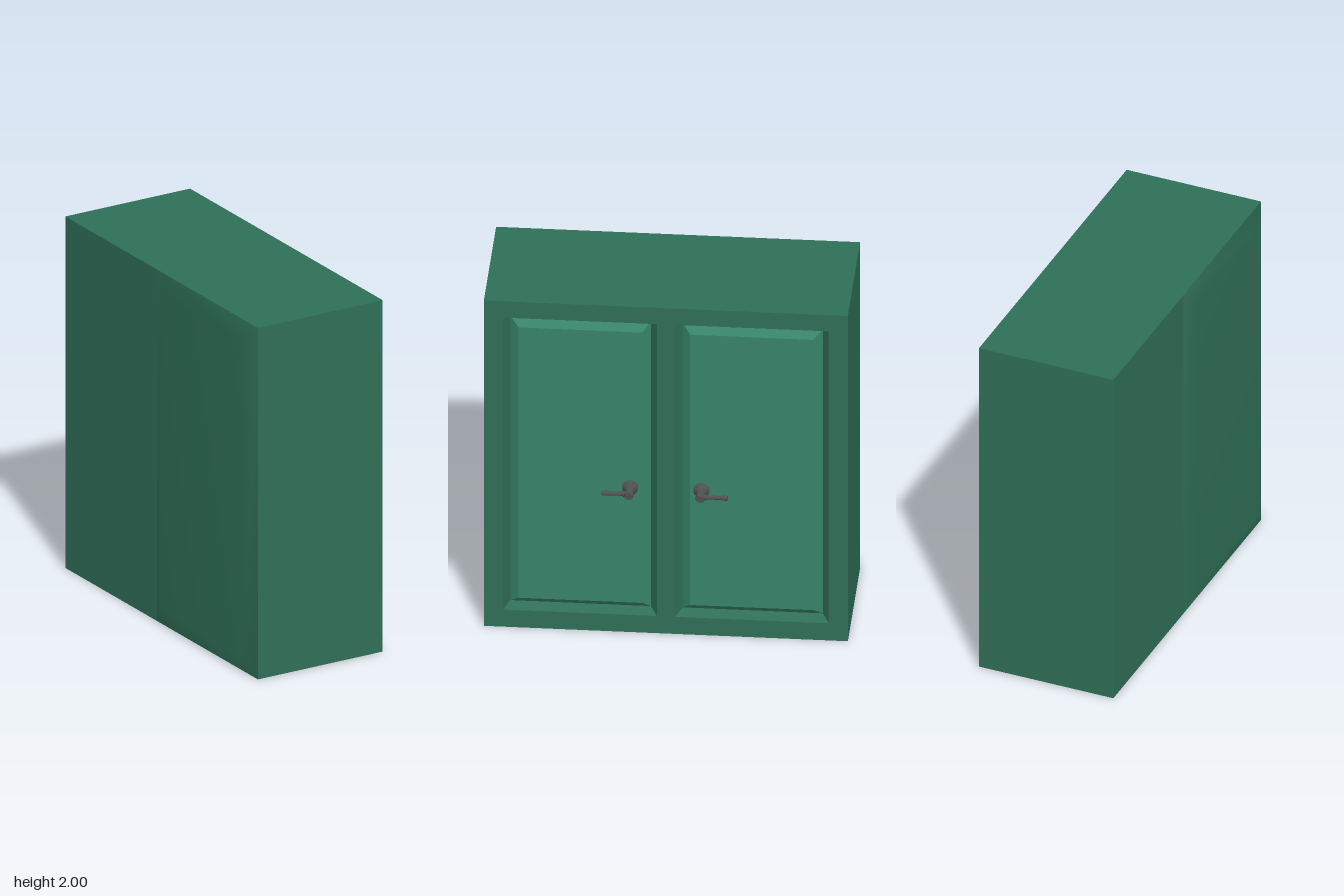
import * as THREE from 'three';
import { mergeVertices, toCreasedNormals } from 'three/addons/utils/BufferGeometryUtils.js';

const FRONT = 0.355, BACK = -0.425, HALF = 0.97;
const green = new THREE.MeshStandardMaterial({ color: 0x2f6f57 });
const lightGreen = new THREE.MeshStandardMaterial({ color: 0x38846a });
const iron = new THREE.MeshStandardMaterial({ color: 0x505050 });

// Rectangle at depth x, corners anticlockwise as seen from +x
const rect = (x, z0, z1, y0, y1) => [[x, y0, z1], [x, y0, z0], [x, y1, z0], [x, y1, z1]];

// Joins successive rectangles with quads; cap fills the last one
function loft(rects, { cap = false, flip = false } = {}) {
  const pos = [];
  const quad = (a, b, c, d) => {
    const tri = flip ? [a, c, b, a, d, c] : [a, b, c, a, c, d];
    pos.push(...tri.flat());
  };
  for (let i = 0; i + 1 < rects.length; i++) {
    const o = rects[i], n = rects[i + 1];
    for (let k = 0; k < 4; k++) {
      const j = (k + 1) % 4;
      quad(o[k], o[j], n[j], n[k]);
    }
  }
  if (cap) quad(...rects[rects.length - 1]);
  const g = new THREE.BufferGeometry();
  g.setAttribute('position', new THREE.Float32BufferAttribute(pos, 3));
  g.computeVertexNormals();
  return g;
}

function add(parent, name, geometry, material) {
  const mesh = new THREE.Mesh(geometry, material);
  mesh.name = name;
  parent.add(mesh);
  return mesh;
}

// Lathe from [radius, height] pairs
const turned = (pts) => toCreasedNormals(
  new THREE.LatheGeometry(pts.map(([r, h]) => new THREE.Vector2(r, h)), 20), 0.6);

function makeHandle(side) {
  const handle = new THREE.Group();
  handle.name = side > 0 ? 'leftDoorHandle' : 'rightDoorHandle';
  // Rose, neck and hub on one axis
  const hub = turned([[0.043, 0], [0.043, 0.008], [0.036, 0.015], [0.022, 0.03], [0.014, 0.034],
    [0.014, 0.045], [0.022, 0.047], [0.025, 0.052], [0.025, 0.09], [0.021, 0.1], [0, 0.1]]);
  add(handle, 'handleHub', hub.rotateZ(-Math.PI / 2), iron);
  // Lever pointing towards the outer edge of the door
  const lever = turned([[0.016, 0.015], [0.016, 0.03], [0.011, 0.04], [0.011, 0.11],
    [0.014, 0.115], [0.014, 0.142], [0.011, 0.146], [0, 0.146]]);
  add(handle, 'handleLever', lever.rotateX(side * Math.PI / 2), iron).position.x = 0.072;
  handle.position.set(FRONT, 0.89, side * 0.19);
  return handle;
}

export function createModel() {
  const model = new THREE.Group();
  model.name = 'cabinet';

  // Cabinet sides, top and bottom
  add(model, 'carcass', loft([
    rect(BACK, -HALF, HALF, 0, 2), rect(FRONT, -HALF, HALF, 0, 2)]), green);

  // Front frame with two door openings
  const frame = new THREE.Shape([[-HALF, 0], [HALF, 0], [HALF, 2], [-HALF, 2]]
    .map(p => new THREE.Vector2(...p)));
  for (const s of [-1, 1]) {
    frame.holes.push(new THREE.Path([[0.048, 0.105], [0.048, 1.9], [0.868, 1.9], [0.868, 0.105]]
      .map(([x, y]) => new THREE.Vector2(s * x, y))));
  }
  add(model, 'frontFrame', new THREE.ShapeGeometry(frame).rotateY(Math.PI / 2), green)
    .position.x = FRONT;

  // Doors: sloping rim into a groove, then a raised panel
  for (const s of [-1, 1]) {
    const door = new THREE.Group();
    door.name = s > 0 ? 'leftDoor' : 'rightDoor';
    const ring = (depth, inner, outer, y0, y1) => rect(FRONT - depth,
      Math.min(s * inner, s * outer), Math.max(s * inner, s * outer), y0, y1);
    const groove = ring(0.06, 0.084, 0.833, 0.13, 1.878);
    add(door, 'doorRim', loft([ring(0, 0.048, 0.868, 0.105, 1.9), groove]), green);
    add(door, 'doorPanel', loft([groove, ring(0.02, 0.128, 0.787, 0.17, 1.832)], { cap: true }), lightGreen);
    door.add(makeHandle(s));
    model.add(door);
  }

  // Back: flat half and a shallow raised half with soft edges
  add(model, 'backFlat', loft([rect(BACK, -HALF, -0.048, 0, 2)], { cap: true, flip: true }), green);
  const raised = loft([rect(BACK, -0.048, HALF, 0, 2), rect(-0.46, 0.048, 0.868, 0.105, 1.9)],
    { cap: true, flip: true });
  raised.deleteAttribute('normal');
  const smooth = mergeVertices(raised);
  smooth.computeVertexNormals();
  add(model, 'backRaised', smooth, green);

  return model;
}
